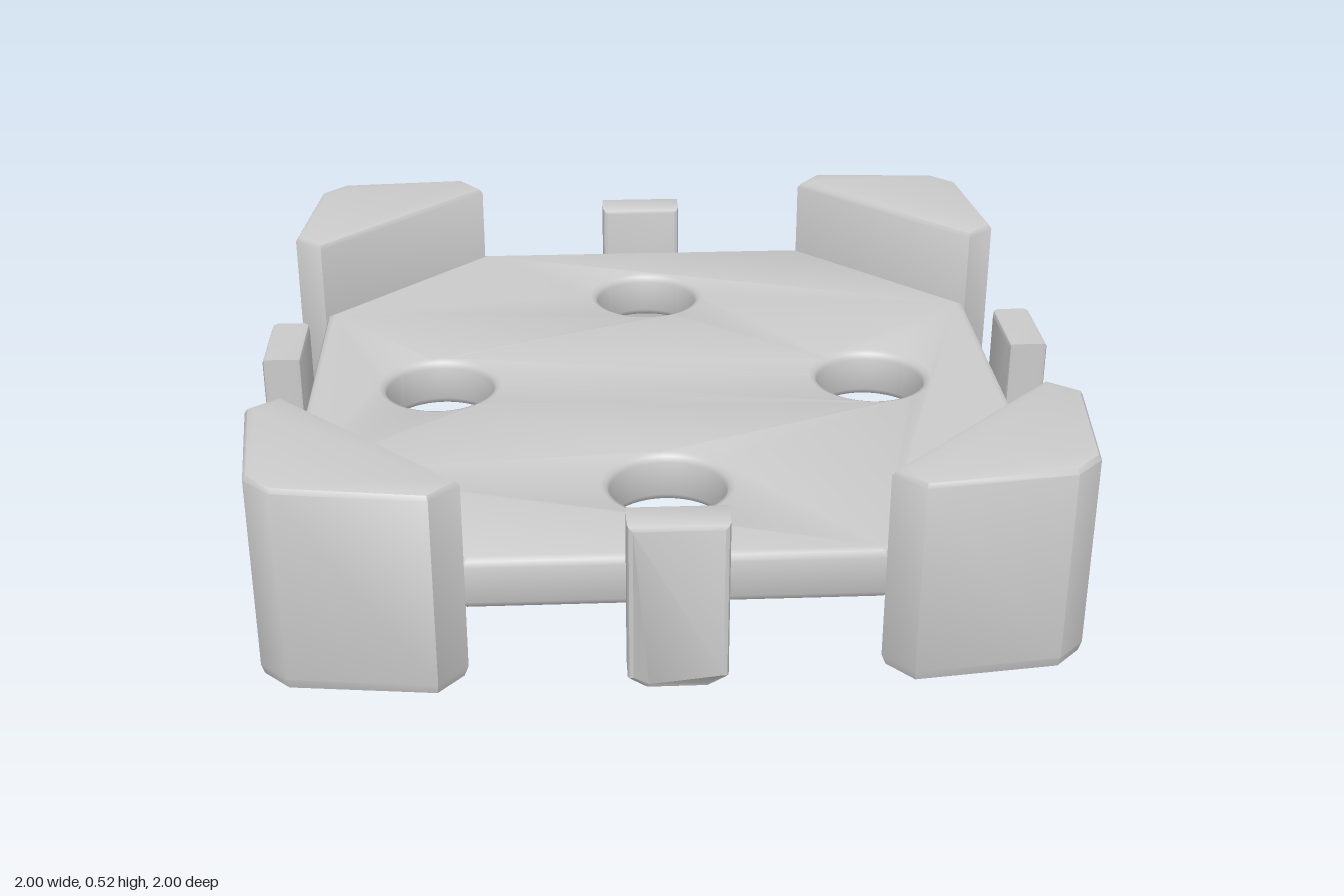
import * as THREE from 'three';
import { toCreasedNormals } from 'three/addons/utils/BufferGeometryUtils.js';

const material = new THREE.MeshStandardMaterial({ color: 0xcccccc });

const outline = (points) => new THREE.Shape(points.map(([x, y]) => new THREE.Vector2(x, y)));

// Extrusion of total depth z0..z1 whose bevel stays inside the outline.
function bevelled(shape, z0, z1, bevelSize, bevelThickness = bevelSize) {
  const geometry = new THREE.ExtrudeGeometry(shape, {
    depth: z1 - z0 - 2 * bevelThickness,
    bevelEnabled: true,
    bevelSegments: 2,
    bevelSize,
    bevelThickness,
    bevelOffset: -bevelSize,
    curveSegments: 40,
  });
  return geometry.translate(0, 0, z0 + bevelThickness);
}

// Move every vertex by a rule.
function reshape(geometry, rule) {
  const p = geometry.attributes.position;
  const v = new THREE.Vector3();
  for (let i = 0; i < p.count; i++) {
    rule(v.fromBufferAttribute(p, i));
    p.setXYZ(i, v.x, v.y, v.z);
  }
  return geometry;
}

// Flat eight-sided plate with four round holes
function plateGeometry() {
  const a = 0.9, c = 0.47;
  const shape = outline([[a, -c], [a, c], [c, a], [-c, a], [-a, c], [-a, -c], [-c, -a], [c, -a]]);
  for (let i = 0; i < 4; i++) {
    const t = (i * Math.PI) / 2;
    const hole = new THREE.Path();
    hole.absarc(0.563 * Math.cos(t), 0.563 * Math.sin(t), 0.139, 0, Math.PI * 2, true);
    shape.holes.push(hole);
  }
  const geometry = bevelled(shape, 0.18, 0.308, 0.02).rotateX(-Math.PI / 2);
  return toCreasedNormals(geometry, 0.9);
}

// Tall corner block, flat towards the plate, its top rising slightly outwards
function cornerGeometry() {
  const shape = outline([
    [0.47, 0.905], [0.905, 0.47], [0.98, 0.535],
    [0.94, 0.875], [0.875, 0.94], [0.535, 0.98],
  ]);
  const geometry = bevelled(shape, 0, 0.52, 0.025, 0.035).rotateX(-Math.PI / 2);
  reshape(geometry, (v) => {
    if (v.y > 0.48) {
      v.y = 0.5 + (v.y - 0.485) * 0.45; // shallower bevel at the top
      v.y += 0.02 * (v.x - v.z - 1.35);
    }
  });
  return toCreasedNormals(geometry, 0.7);
}

// Narrow upright tab with a tapered foot
function tabGeometry() {
  const w = 0.113, f = 0.07;
  const shape = outline([[-f, 0], [f, 0], [w, 0.05], [w, 0.44], [-w, 0.44], [-w, 0.05]]);
  const geometry = bevelled(shape, 0.902, 1, 0.013);
  reshape(geometry, (v) => {
    if (v.y < 0.03 && v.z > 0.95) v.z -= 0.035;
  });
  return toCreasedNormals(geometry, 0.5);
}

export function createModel() {
  const model = new THREE.Group();
  model.name = 'tray';

  const add = (name, geometry, turn = 0) => {
    const mesh = new THREE.Mesh(geometry, material);
    mesh.name = name;
    mesh.rotation.y = turn;
    model.add(mesh);
  };

  add('plate', plateGeometry());

  // Four corners and four side tabs, turned about the centre
  const corner = cornerGeometry();
  const tab = tabGeometry();
  const corners = ['backLeft', 'backRight', 'frontRight', 'frontLeft'];
  const sides = ['front', 'left', 'back', 'right'];
  for (let i = 0; i < 4; i++) {
    add(corners[i] + 'CornerBlock', corner, (i * Math.PI) / 2);
    add(sides[i] + 'Tab', tab, (i * Math.PI) / 2);
  }
  return model;
}
